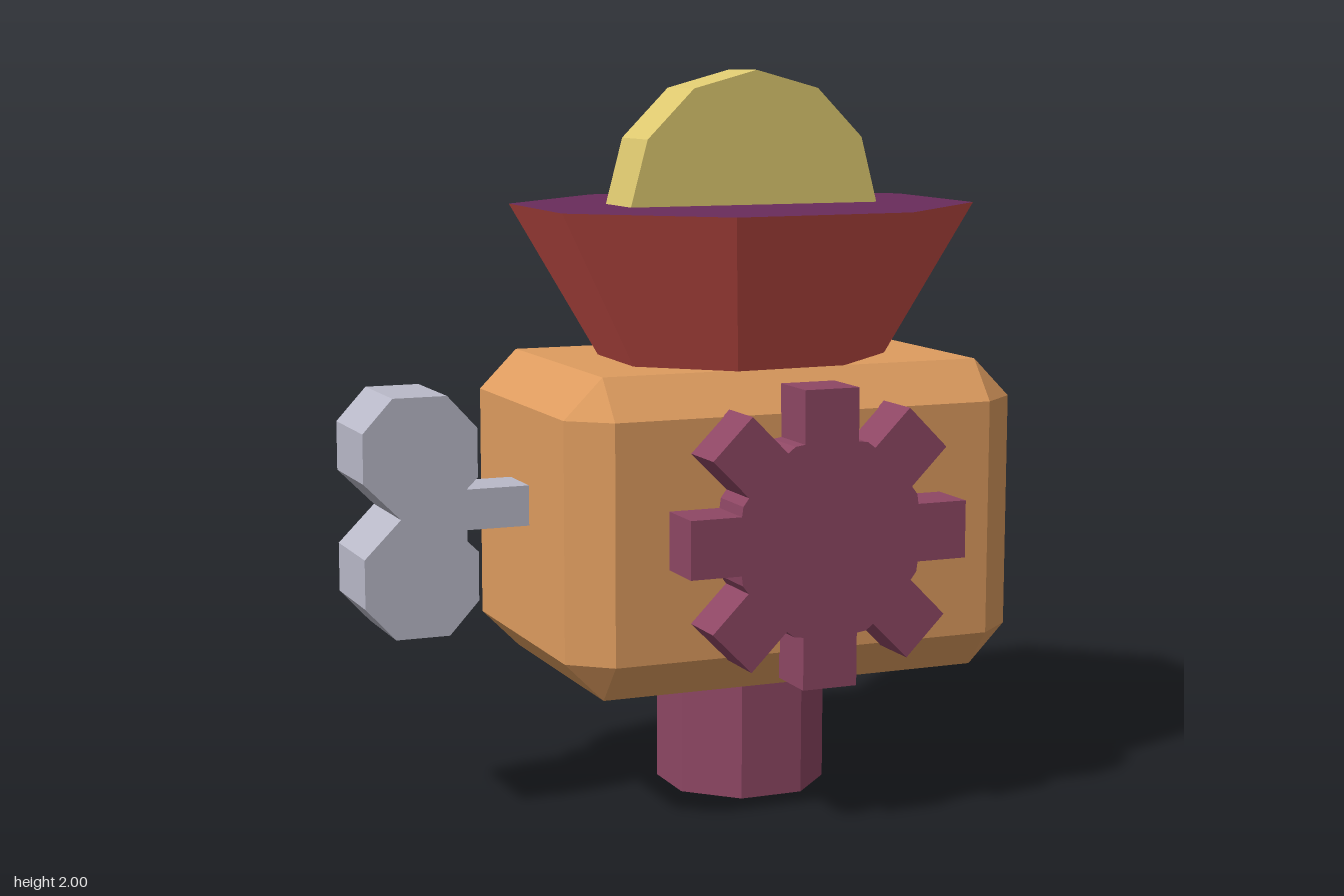
import * as THREE from 'three';
import { ConvexGeometry } from 'three/addons/geometries/ConvexGeometry.js';

const CX = 0.235; // x of the machine's upright axis

const flat = (name, color) => {
  const m = new THREE.MeshStandardMaterial({ color, flatShading: true });
  m.name = name;
  return m;
};

function part(group, name, geometry, material, x = 0, y = 0, z = 0) {
  const mesh = new THREE.Mesh(geometry, material);
  mesh.name = name;
  mesh.position.set(x, y, z);
  group.add(mesh);
  return mesh;
}

// Plate with the given outline, centred on z = 0
function plate(points, depth) {
  const shape = new THREE.Shape(points.map(([x, y]) => new THREE.Vector2(x, y)));
  return new THREE.ExtrudeGeometry(shape, { depth, bevelEnabled: false }).translate(0, 0, -depth / 2);
}

// Box with every edge and corner cut off
function chamferedBox(hx, hy, hz, cx, cy, cz) {
  const points = [];
  for (const sx of [-1, 1]) for (const sy of [-1, 1]) for (const sz of [-1, 1]) {
    points.push(
      new THREE.Vector3(sx * hx, sy * (hy - cy), sz * (hz - cz)),
      new THREE.Vector3(sx * (hx - cx), sy * hy, sz * (hz - cz)),
      new THREE.Vector3(sx * (hx - cx), sy * (hy - cy), sz * hz));
  }
  return new ConvexGeometry(points);
}

// Eight square teeth around a sixteen-sided hub
function gearOutline(outer, root, hub, halfWidth) {
  const points = [];
  for (let i = 0; i < 8; i++) {
    const a = i * Math.PI / 4, c = Math.cos(a), s = Math.sin(a);
    for (const [r, w] of [[root, -halfWidth], [outer, -halfWidth], [outer, halfWidth], [root, halfWidth]]) {
      points.push([r * c - w * s, r * s + w * c]);
    }
    const mid = a + Math.PI / 8;
    points.push([hub * Math.cos(mid), hub * Math.sin(mid)]);
  }
  return points;
}

export function createModel() {
  const model = new THREE.Group();
  model.name = 'windUpMachine';

  const orange = flat('orange body', 0xde9c5f);
  const plum = flat('plum', 0x8e4764);
  const red = flat('red', 0xcb5049);
  const purple = flat('purple', 0x6a2c5b);
  const yellow = flat('yellow', 0xdec970);
  const grey = flat('grey', 0xb9b9c8);

  // Body and its post
  part(model, 'body', chamferedBox(0.655, 0.43, 0.435, 0.108, 0.108, 0.09), orange, CX, 0.785, 0);
  const post = new THREE.CylinderGeometry(0.236, 0.236, 0.38, 8).rotateY(Math.PI / 8);
  part(model, 'post', post, plum, CX, 0.19, 0);

  // Funnel, a slightly skewed octagon, with a purple top face
  const funnel = new THREE.CylinderGeometry(1, 0.622, 0.42, 8);
  funnel.applyMatrix4(new THREE.Matrix4().makeBasis(
    new THREE.Vector3(0.61, 0, 0.21),
    new THREE.Vector3(0, 1, 0),
    new THREE.Vector3(-0.275, 0, 0.583)));
  part(model, 'funnel', funnel, [red, purple, red], CX, 1.425, 0);

  // Half disc standing in the funnel
  const disc = [];
  for (let i = 0; i <= 6; i++) {
    const a = i * Math.PI / 6;
    disc.push([0.369 * Math.cos(a), 0.369 * Math.sin(a)]);
  }
  part(model, 'disc', plate(disc, 0.188), yellow, CX, 1.631, 0);

  // Gear on the front
  part(model, 'gear', plate(gearOutline(0.397, 0.255, 0.272, 0.0775), 0.15), plum, CX, 0.79, 0.505);

  // Winding key on the right side
  const upper = [[0.125, 0.07], [0.156, 0.1], [0.156, 0.232], [0.074, 0.321],
    [-0.074, 0.321], [-0.156, 0.232], [-0.156, 0.1]];
  const lower = upper.map(([x, y]) => [x, -y]).reverse();
  part(model, 'windingKey', plate([...upper, [-0.056, 0], ...lower], 0.26), grey, -0.739, 0.837, 0);
  part(model, 'keyShaft', new THREE.BoxGeometry(0.24, 0.11, 0.15), grey, -0.51, 0.84, -0.005);

  return model;
}
